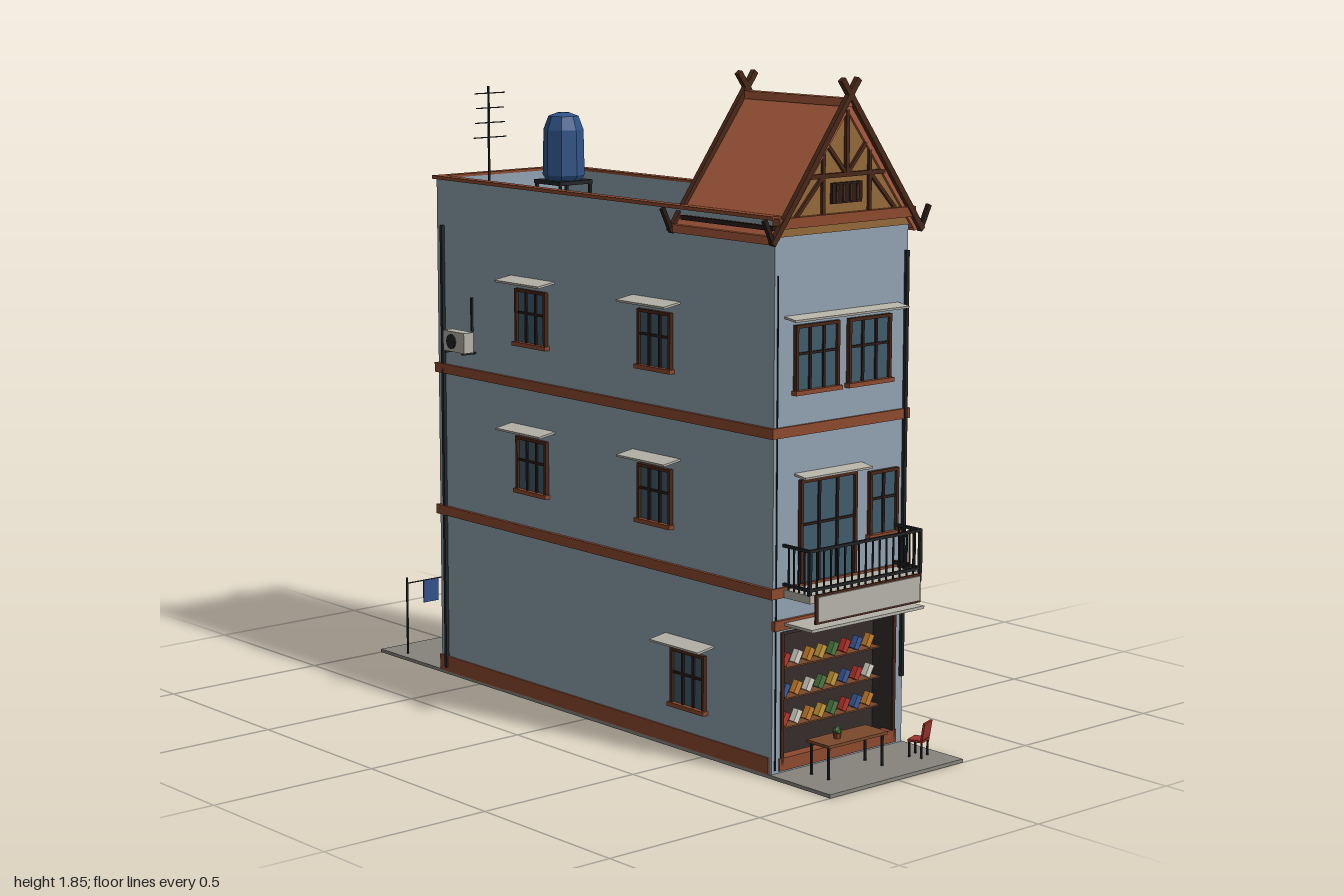
import * as THREE from 'three';

const C = {
  wall: 0x90a2b0, trim: 0x8c4a2e, dark: 0x2a1c17, glass: 0x3f5a6b, roof: 0xa85a3c, tan: 0x94693a,
  grey: 0x87847c, pale: 0xb5b2a8, iron: 0x222426, shop: 0x352c2a, tank: 0x2f5488, wood: 0x7a4a2c, red: 0x9c3328, timber: 0x4a2718,
};
const mats = {};
const mat = (c) => (mats[c] ??= new THREE.MeshStandardMaterial({ color: c, flatShading: true }));

function mesh(g, name, geo, color) {
  const m = new THREE.Mesh(geo, mat(color));
  m.name = name;
  g.add(m);
  return m;
}
// box given by its extents on each axis
function box(g, name, color, x0, x1, y0, y1, z0, z1) {
  const m = mesh(g, name, new THREE.BoxGeometry(x1 - x0, y1 - y0, z1 - z0), color);
  m.position.set((x0 + x1) / 2, (y0 + y1) / 2, (z0 + z1) / 2);
  return m;
}
// square bar between two points
function bar(g, name, color, a, b, t = 0.008) {
  const p = new THREE.Vector3(...a), q = new THREE.Vector3(...b), d = q.clone().sub(p);
  const m = mesh(g, name, new THREE.BoxGeometry(t, d.length(), t), color);
  m.position.copy(p).add(q).multiplyScalar(0.5);
  m.quaternion.setFromUnitVectors(new THREE.Vector3(0, 1, 0), d.normalize());
  return m;
}
function plate(g, name, color, pts, z0, z1, hole) {
  const s = new THREE.Shape(pts.map((p) => new THREE.Vector2(...p)));
  if (hole) s.holes.push(new THREE.Path(hole.map((p) => new THREE.Vector2(...p))));
  const m = mesh(g, name, new THREE.ExtrudeGeometry(s, { depth: z1 - z0, bevelEnabled: false }), color);
  m.position.z = z0;
  return m;
}
function group(parent, name) {
  const g = new THREE.Group();
  g.name = name;
  parent.add(g);
  return g;
}
// window facing +z, its sill centre at the origin
function windowUnit(parent, name, w, h, panes, sill = true) {
  const g = group(parent, name), f = 0.009;
  box(g, 'glass', C.glass, -w / 2, w / 2, 0, h, 0, 0.004);
  for (const s of [-1, 1]) box(g, 'jamb', C.timber, s * (w / 2) - f / 2, s * (w / 2) + f / 2, 0, h, 0, 0.012);
  box(g, 'head', C.timber, -w / 2 - f / 2, w / 2 + f / 2, h - f, h, 0, 0.012);
  if (sill) box(g, 'sill', C.trim, -w / 2 - 0.01, w / 2 + 0.01, -0.006, 0.006, 0, 0.018);
  for (let i = 1; i < panes; i++) {
    const x = -w / 2 + (w * i) / panes;
    box(g, 'mullion', C.dark, x - 0.004, x + 0.004, 0, h, 0, 0.009);
  }
  box(g, 'glazingBar', C.dark, -w / 2, w / 2, h * 0.55, h * 0.55 + 0.007, 0, 0.008);
  return g;
}
// sloping slab above a window, facing +z
function awning(g, w, y, depth = 0.045) {
  const m = box(g, 'awning', C.pale, -w / 2, w / 2, y - 0.003, y + 0.003, 0, depth);
  m.rotation.x = 0.15;
  return m;
}

function buildShell(root) {
  const g = group(root, 'building');
  box(g, 'ground', C.grey, -0.25, 0.25, 0, 0.01, -1, 1);
  box(g, 'body', C.wall, -0.245, 0.245, 0.01, 1.385, -0.69, 0.69);
  box(g, 'roofDeck', C.grey, -0.235, 0.235, 1.385, 1.392, -0.68, 0.75);
  plate(g, 'frontWall', C.wall, [[-0.245, 0.01], [0.245, 0.01], [0.245, 1.5], [-0.245, 1.5]], 0.69, 0.77,
    [[-0.21, 0.02], [-0.21, 0.395], [0.21, 0.395], [0.21, 0.02]]);
  for (const s of [-1, 1]) {
    const x = s * 0.235;
    box(g, 'parapet', C.wall, x - 0.01, x + 0.01, 1.385, 1.497, -0.69, 0.7);
    box(g, 'parapetCap', C.trim, s * 0.24 - 0.015, s * 0.24 + 0.015, 1.495, 1.505, -0.7, 0.77);
  }
  box(g, 'rearParapet', C.wall, -0.245, 0.245, 1.385, 1.497, -0.69, -0.67);
  box(g, 'rearCap', C.trim, -0.255, 0.255, 1.495, 1.505, -0.7, -0.67);
  // floor bands and plinth
  for (const y of [0.49, 0.92]) box(g, 'floorBand', C.trim, -0.255, 0.255, y, y + 0.028, -0.697, 0.777);
  for (const s of [-1, 1]) box(g, 'plinth', C.trim, s * 0.235 - 0.015, s * 0.235 + 0.015, 0.008, 0.055, -0.694, 0.76);
  box(g, 'rearPlinth', C.trim, -0.25, 0.25, 0.008, 0.055, -0.694, -0.68);
  box(g, 'doorStep', C.trim, -0.22, 0.22, 0.015, 0.05, 0.74, 0.775);
  // drain pipes
  bar(g, 'drainPipe', C.iron, [0.236, 0.2, 0.776], [0.236, 1.38, 0.776], 0.01);
  bar(g, 'drainPipe', C.iron, [-0.25, 0.02, -0.66], [-0.25, 1.36, -0.66], 0.01);
  bar(g, 'cable', C.iron, [-0.235, 0.02, 0.773], [-0.235, 1.35, 0.773], 0.003);
}

function buildWindows(root) {
  const g = group(root, 'windows');
  // front
  for (const x of [-0.097, 0.097]) windowUnit(g, 'frontWindow', 0.15, 0.18, 3).position.set(x, 1.035, 0.77);
  windowUnit(g, 'balconyDoor', 0.2, 0.28, 3, false).position.set(-0.05, 0.52, 0.77);
  windowUnit(g, 'smallWindow', 0.1, 0.18, 2).position.set(0.157, 0.61, 0.77);
  awning(g, 0.42, 1.235).position.set(0, 1.235, 0.79);
  awning(g, 0.25, 0.81).position.set(-0.045, 0.813, 0.79);
  // rear
  for (const y of [0.61, 1.04]) windowUnit(g, 'rearWindow', 0.15, 0.16, 3).position.set(0, y, -0.69), (g.children.at(-1).rotation.y = Math.PI);
  // right-hand wall
  for (const [z, y] of [[0.3, 1.05], [-0.24, 1.05], [0.3, 0.62], [-0.24, 0.62], [0.44, 0.125]]) {
    const s = group(g, 'sideWindow');
    windowUnit(s, 'window', 0.13, 0.16, 3);
    awning(s, 0.2, 0.185, 0.06).position.set(0, 0.186, 0.03);
    s.position.set(-0.245, y, z);
    s.rotation.y = -Math.PI / 2;
  }
  // air conditioner
  box(g, 'airConditioner', C.pale, -0.295, -0.26, 1.0, 1.06, -0.6, -0.5);
  const fan = mesh(g, 'fan', new THREE.CylinderGeometry(0.022, 0.022, 0.004, 12), C.iron);
  fan.rotation.z = Math.PI / 2;
  fan.position.set(-0.296, 1.03, -0.56);
  for (const z of [-0.59, -0.51]) bar(g, 'bracket', C.iron, [-0.245, 0.997, z], [-0.295, 0.997, z], 0.006);
  bar(g, 'acPipe', C.iron, [-0.25, 1.06, -0.52], [-0.25, 1.16, -0.52], 0.006);
}

function buildGableRoof(root) {
  const g = group(root, 'gableRoof');
  plate(g, 'roofTiles', C.roof, [[-0.27, 1.44], [-0.25, 1.44], [0, 1.766], [0.25, 1.44], [0.27, 1.44], [0, 1.793]], 0.395, 0.785);
  for (const z of [0.405, 0.765]) plate(g, 'gableWall', C.tan, [[-0.243, 1.45], [0.243, 1.45], [0, 1.768]], z, z + 0.012);
  box(g, 'ridge', C.roof, -0.015, 0.015, 1.778, 1.8, 0.39, 0.79);
  for (const z of [0.39, 0.79]) for (const s of [-1, 1]) {
    // barge boards run on past the ridge as crossed finials, and end in hooks
    bar(g, 'bargeBoard', C.timber, [s * 0.275, 1.435, z], [-s * 0.03, 1.85, z], 0.016);
    bar(g, 'eaveHook', C.dark, [s * 0.27, 1.435, z], [s * 0.302, 1.5, z], 0.012);
  }
  for (const s of [-1, 1]) {
    box(g, 'eaveBoard', C.roof, s * 0.262 - 0.01, s * 0.262 + 0.01, 1.433, 1.455, 0.395, 0.785);
    bar(g, 'eaveRail', C.dark, [s * 0.258, 1.475, 0.42], [s * 0.258, 1.475, 0.78], 0.012);
  }
  // half-timbered front
  const z = 0.78;
  box(g, 'tieBeam', C.trim, -0.25, 0.25, 1.472, 1.5, 0.765, 0.793);
  bar(g, 'collar', C.timber, [-0.14, 1.6, z], [0.14, 1.6, z], 0.012);
  bar(g, 'kingPost', C.timber, [0, 1.6, z], [0, 1.77, z], 0.012);
  for (const s of [-1, 1]) {
    bar(g, 'post', C.timber, [s * 0.085, 1.49, z], [s * 0.085, 1.66, z], 0.01);
    bar(g, 'brace', C.timber, [s * 0.19, 1.49, z], [s * 0.085, 1.6, z], 0.01);
    bar(g, 'upperBrace', C.timber, [0, 1.6, z], [s * 0.07, 1.68, z], 0.01);
  }
  box(g, 'vent', C.dark, -0.055, 0.055, 1.525, 1.58, 0.775, 0.785);
  for (let i = 0; i < 4; i++) box(g, 'ventSlat', C.timber, -0.042 + i * 0.025, -0.033 + i * 0.025, 1.53, 1.575, 0.78, 0.788);
}

function buildBalcony(root) {
  const g = group(root, 'balcony');
  box(g, 'slab', C.pale, -0.21, 0.21, 0.49, 0.512, 0.77, 0.875);
  for (const y of [0.525, 0.63]) {
    bar(g, 'rail', C.iron, [-0.21, y, 0.87], [0.21, y, 0.87]);
    for (const s of [-1, 1]) bar(g, 'sideRail', C.iron, [s * 0.206, y, 0.77], [s * 0.206, y, 0.87]);
  }
  for (let i = 0; i <= 16; i++) {
    const x = -0.206 + (0.412 * i) / 16, t = i % 16 ? 0.004 : 0.009;
    bar(g, 'baluster', C.iron, [x, 0.51, 0.87], [x, 0.63, 0.87], t);
  }
  for (const s of [-1, 1]) for (let i = 1; i < 5; i++) bar(g, 'baluster', C.iron, [s * 0.206, 0.51, 0.77 + i * 0.02], [s * 0.206, 0.63, 0.77 + i * 0.02], 0.004);
  // canopy and blank sign board
  box(g, 'canopy', C.pale, -0.21, 0.21, 0.414, 0.422, 0.77, 0.885);
  box(g, 'canopyBeam', C.trim, -0.245, 0.245, 0.403, 0.43, 0.765, 0.78);
  box(g, 'signFrame', C.timber, -0.196, 0.196, 0.434, 0.514, 0.878, 0.884);
  box(g, 'signBoard', C.pale, -0.19, 0.19, 0.44, 0.508, 0.88, 0.888);
}

function buildShop(root) {
  const g = group(root, 'shop');
  box(g, 'backPanel', C.shop, -0.21, 0.21, 0.02, 0.395, 0.688, 0.697);
  for (const s of [-1, 1]) {
    box(g, 'sidePanel', C.shop, s * 0.207 - 0.004, s * 0.207 + 0.004, 0.02, 0.395, 0.69, 0.773);
    bar(g, 'openingPost', C.timber, [s * 0.21, 0.02, 0.77], [s * 0.21, 0.395, 0.77], 0.01);
  }
  box(g, 'ceiling', C.shop, -0.21, 0.21, 0.388, 0.396, 0.69, 0.773);
  // shelves stocked with leaning goods
  const goods = [0xb5342c, 0xc79a3a, 0xd8d4c8, 0x3a5a9a, 0x4c7a45, 0xc9812f];
  [0.12, 0.2, 0.285].forEach((y, r) => {
    box(g, 'shelf', C.wood, -0.19, 0.19, y - 0.004, y, 0.7, 0.74);
    for (let i = 0; i < 8; i++) {
      const x = -0.16 + i * 0.045;
      const m = box(g, 'goods', goods[(i * 2 + r * 3 + (i >> 1)) % 6], x - 0.009, x + 0.009, y + 0.002, y + 0.038, 0.715, 0.735);
      m.rotation.z = -0.5;
    }
  });
  // table with plant
  box(g, 'tableTop', C.wood, -0.17, 0.05, 0.098, 0.106, 0.825, 0.912);
  for (const x of [-0.16, 0.04]) for (const z of [0.835, 0.9]) bar(g, 'tableLeg', C.iron, [x, 0.01, z], [x, 0.1, z], 0.006);
  mesh(g, 'plantPot', new THREE.CylinderGeometry(0.012, 0.009, 0.015, 8), C.trim).position.set(-0.1, 0.113, 0.87);
  mesh(g, 'plant', new THREE.IcosahedronGeometry(0.014, 0), 0x3f6b35).position.set(-0.1, 0.127, 0.87);
  // red chair
  const c = group(g, 'chair');
  box(c, 'seat', C.red, -0.025, 0.025, 0.054, 0.06, -0.022, 0.022);
  const back = box(c, 'backrest', C.red, -0.025, 0.025, 0.062, 0.11, 0.02, 0.026);
  back.rotation.x = 0.15;
  for (const x of [-0.02, 0.02]) for (const z of [-0.018, 0.018]) bar(c, 'chairLeg', C.iron, [x, 0.01, z], [x, 0.055, z], 0.005);
  c.position.set(0.18, 0, 0.9);
  c.rotation.y = 0.35;
}

function buildRooftopAndYard(root) {
  const g = group(root, 'rooftop');
  // water tank on its stand
  const profile = [[0, 0], [0.054, 0], [0.063, 0.015], [0.06, 0.15], [0.045, 0.19], [0.018, 0.2], [0, 0.2]];
  mesh(g, 'waterTank', new THREE.LatheGeometry(profile.map((p) => new THREE.Vector2(...p)), 8), C.tank).position.set(0.123, 1.48, -0.55);
  box(g, 'tankStand', C.iron, 0.06, 0.186, 1.468, 1.48, -0.613, -0.49);
  for (const x of [0.066, 0.18]) for (const z of [-0.607, -0.496]) bar(g, 'standLeg', C.iron, [x, 1.39, z], [x, 1.47, z], 0.008);
  // aerial
  bar(g, 'aerialMast', C.iron, [-0.15, 1.39, -0.56], [-0.15, 1.77, -0.56], 0.005);
  [0.055, 0.05, 0.045, 0.05].forEach((w, i) => bar(g, 'aerialRod', C.iron, [-0.15 - w, 1.62 + i * 0.043, -0.56], [-0.15 + w + 0.01, 1.62 + i * 0.043, -0.56], 0.003));
  // washing line
  const y = group(root, 'washingLine');
  for (const x of [-0.22, 0.22]) bar(y, 'linePost', C.iron, [x, 0.01, -0.9], [x, 0.25, -0.9], 0.005);
  bar(y, 'line', C.iron, [-0.22, 0.232, -0.9], [0.22, 0.232, -0.9], 0.003);
  for (const [x, c] of [[0.14, 0xb4b8a4], [-0.04, 0xa8687c], [-0.13, 0x34508c]]) box(y, 'cloth', c, x - 0.028, x + 0.028, 0.162, 0.231, -0.902, -0.898);
}

export function createModel() {
  const root = new THREE.Group();
  root.name = 'townhouse';
  for (const build of [buildShell, buildWindows, buildGableRoof, buildBalcony, buildShop, buildRooftopAndYard]) build(root);
  return root;
}
